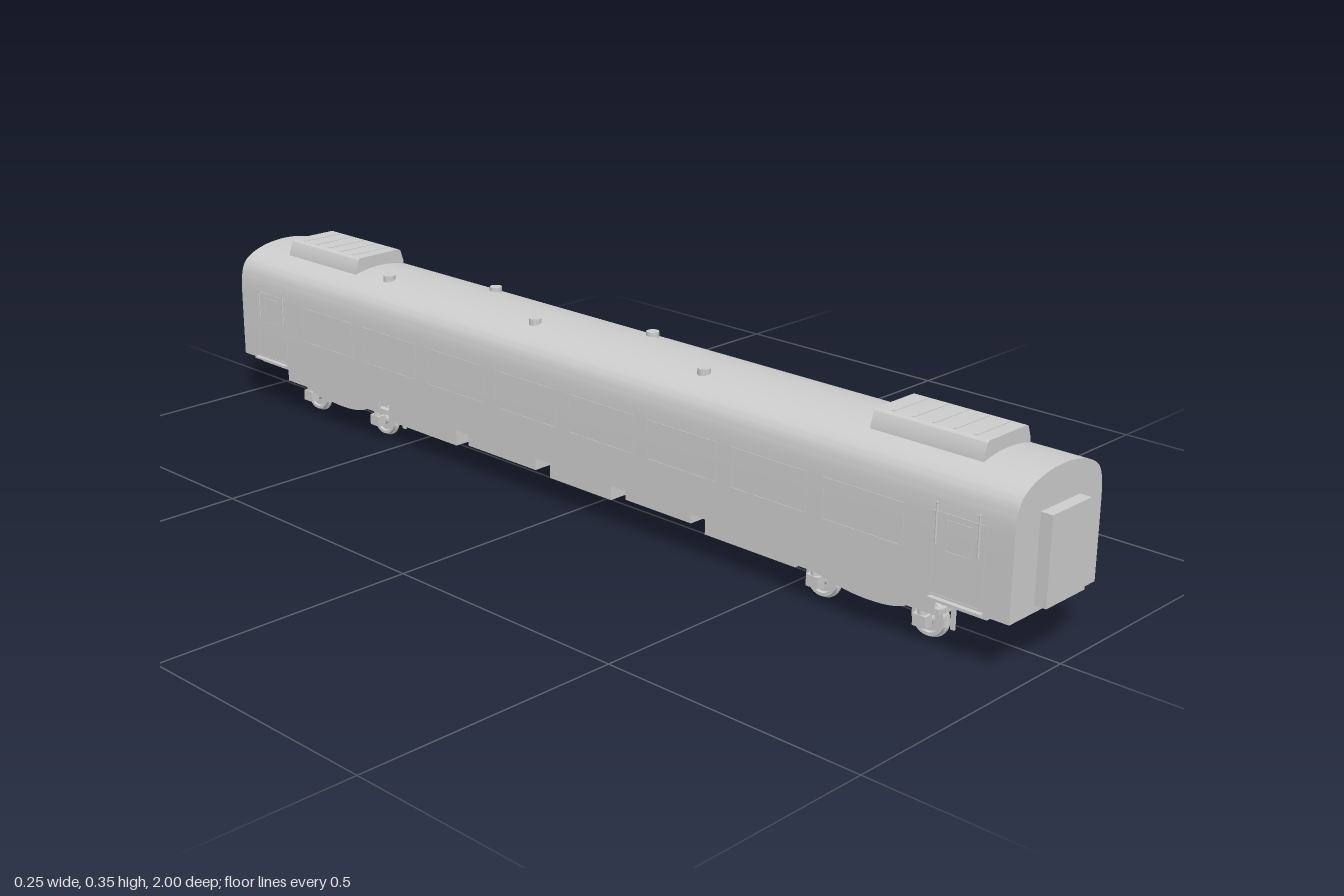
import * as THREE from 'three';
import { toCreasedNormals } from 'three/addons/utils/BufferGeometryUtils.js';

export function createModel() {
  const grey = new THREE.MeshStandardMaterial({ color: 0xcccccc });
  grey.name = 'light grey';
  const model = new THREE.Group();
  model.name = 'railCarriage';

  const add = (name, geo, x = 0, y = 0, z = 0, parent = model) => {
    const m = new THREE.Mesh(geo, grey);
    m.name = name;
    m.position.set(x, y, z);
    parent.add(m);
    return m;
  };
  // Box given by its limits on each axis
  const box = (name, x0, x1, y0, y1, z0, z1, parent = model) =>
    add(name, new THREE.BoxGeometry(x1 - x0, y1 - y0, z1 - z0),
      (x0 + x1) / 2, (y0 + y1) / 2, (z0 + z1) / 2, parent);
  // Extrusion of an x-y shape, centred along z
  const prism = (shape, depth) => {
    const g = new THREE.ExtrudeGeometry(shape, { depth, bevelEnabled: false, curveSegments: 14 });
    g.translate(0, 0, -depth / 2);
    return toCreasedNormals(g, 0.5);
  };
  // Same, but with the shape lying in the z-y plane
  const sidePlate = (shape, thickness) => prism(shape, thickness).rotateY(-Math.PI / 2);

  // Body shell with rounded roof
  const body = new THREE.Shape();
  body.moveTo(-0.118, 0.097);
  body.lineTo(0.118, 0.097);
  body.lineTo(0.118, 0.235);
  body.bezierCurveTo(0.117, 0.29, 0.108, 0.3, 0.085, 0.312);
  body.bezierCurveTo(0.06, 0.324, 0.03, 0.329, 0, 0.329);
  body.bezierCurveTo(-0.03, 0.329, -0.06, 0.324, -0.085, 0.312);
  body.bezierCurveTo(-0.108, 0.3, -0.117, 0.29, -0.118, 0.235);
  add('body', prism(body, 1.956));
  box('underframe', -0.107, 0.107, 0.086, 0.098, -0.93, 0.93);

  // Gangway connections
  for (const s of [-1, 1]) {
    const g = new THREE.BoxGeometry(0.106, 0.155, 0.03);
    add('gangway', g, 0, 0.1875, s * 0.985);
  }

  // Roof units with ribbed tops
  const unit = new THREE.Shape();
  unit.moveTo(-0.063, 0.318);
  unit.lineTo(0.063, 0.318);
  unit.lineTo(0.062, 0.328);
  unit.lineTo(0.055, 0.349);
  unit.quadraticCurveTo(0.053, 0.353, 0.048, 0.353);
  unit.lineTo(-0.048, 0.353);
  unit.quadraticCurveTo(-0.053, 0.353, -0.055, 0.349);
  unit.lineTo(-0.062, 0.328);
  for (const s of [-1, 1]) {
    add('roofUnit', prism(unit, 0.22), 0, 0, s * 0.767);
    for (let i = 0; i < 5; i++) {
      const z = s * 0.767 + (i - 2) * 0.04;
      box('roofUnitRib', -0.045, 0.045, 0.352, 0.354, z - 0.003, z + 0.003);
    }
  }

  // Staggered roof ventilators
  for (let i = 0; i < 5; i++) {
    add('roofVent', new THREE.CylinderGeometry(0.012, 0.012, 0.014, 16),
      i % 2 ? 0.047 : -0.047, 0.327, 0.282 - i * 0.213);
  }

  // Thin rectangular frame on a body side
  const frame = (name, s, z, w, y0, y1) => {
    const t = 0.003, x0 = s > 0 ? 0.1175 : -0.119, x1 = x0 + 0.0015;
    const a = z - w / 2, b = z + w / 2;
    box(name, x0, x1, y0, y0 + t, a, b);
    box(name, x0, x1, y1 - t, y1, a, b);
    box(name, x0, x1, y0 + t, y1 - t, a, a + t);
    box(name, x0, x1, y0 + t, y1 - t, b - t, b);
  };
  for (const s of [-1, 1]) {
    for (let i = 0; i < 8; i++) frame('windowFrame', s, (i - 3.5) * 0.197, 0.165, 0.165, 0.24);
    for (const e of [-1, 1]) {
      // Doors, handrails and footsteps
      frame('doorFrame', s, e * 0.877, 0.1, 0.103, 0.245);
      frame('doorWindowFrame', s, e * 0.877, 0.05, 0.18, 0.235);
      for (const z of [0.835, 0.915]) {
        const r = new THREE.CylinderGeometry(0.002, 0.002, 0.07, 8);
        add('handrail', r, s * 0.119, 0.225, e * z);
      }
      add('footstep', new THREE.BoxGeometry(0.03, 0.004, 0.1), s * 0.112, 0.1, e * 0.88);

      // Skirt with a lower centre over each bogie
      const skirt = new THREE.Shape();
      skirt.moveTo(-0.15, 0.098);
      skirt.lineTo(-0.15, 0.066);
      skirt.lineTo(-0.09, 0.066);
      skirt.quadraticCurveTo(0, 0.042, 0.09, 0.066);
      skirt.lineTo(0.15, 0.066);
      skirt.lineTo(0.15, 0.098);
      add('bogieSkirt', sidePlate(skirt, 0.003), s * 0.111, 0, e * 0.685);
    }
  }

  // Equipment boxes under the floor: z limits and bottom height
  for (const [z0, z1, y] of [
    [0.33, 0.535, 0.05], [0.137, 0.297, 0.061], [-0.06, 0.1, 0.05],
    [-0.29, -0.1, 0.055], [-0.53, -0.325, 0.046],
  ]) box('underfloorBox', -0.092, 0.092, y, 0.09, z0, z1);

  // Bogies
  const wheelProfile = [[0.008, -0.007], [0.028, -0.007], [0.029, -0.005], [0.036, -0.005],
    [0.036, -0.001], [0.033, 0.001], [0.032, 0.007], [0.026, 0.007], [0.024, 0.003],
    [0.012, 0.003], [0.01, 0.008], [0, 0.008]].map(p => new THREE.Vector2(...p));
  const wheelGeo = toCreasedNormals(new THREE.LatheGeometry(wheelProfile, 28), 0.5);
  const frameShape = new THREE.Shape();
  frameShape.moveTo(-0.145, 0.056);
  frameShape.lineTo(-0.085, 0.056);
  frameShape.quadraticCurveTo(-0.06, 0.04, 0, 0.04);
  frameShape.quadraticCurveTo(0.06, 0.04, 0.085, 0.056);
  frameShape.lineTo(0.145, 0.056);
  frameShape.lineTo(0.145, 0.066);
  frameShape.lineTo(0.08, 0.066);
  frameShape.quadraticCurveTo(0, 0.05, -0.08, 0.066);
  frameShape.lineTo(-0.145, 0.066);

  for (const e of [-1, 1]) {
    const bogie = new THREE.Group();
    bogie.name = 'bogie';
    bogie.position.z = e * 0.684;
    model.add(bogie);
    box('bolster', -0.09, 0.09, 0.05, 0.088, -0.03, 0.03, bogie);
    for (const s of [-1, 1]) {
      add('sideFrame', sidePlate(frameShape, 0.012), s * 0.085, 0, 0, bogie);
      add('endBeam', new THREE.BoxGeometry(0.17, 0.01, 0.008), 0, 0.06, s * 0.142, bogie);
      add('damper', new THREE.CylinderGeometry(0.005, 0.005, 0.03, 10), s * 0.097, 0.072, 0.05, bogie);
      add('damper', new THREE.CylinderGeometry(0.005, 0.005, 0.03, 10), s * 0.097, 0.072, -0.05, bogie);

      // One wheelset at each end of the bogie
      const z = s * 0.11;
      const axle = add('axle', new THREE.CylinderGeometry(0.008, 0.008, 0.17, 14), 0, 0.036, z, bogie);
      axle.rotation.z = Math.PI / 2;
      for (const x of [-1, 1]) {
        add('wheel', wheelGeo, x * 0.064, 0.036, z, bogie).rotation.z = -x * Math.PI / 2;
        add('axleBox', new THREE.BoxGeometry(0.018, 0.021, 0.026), x * 0.086, 0.037, z, bogie);
        add('suspensionSpring', new THREE.CylinderGeometry(0.008, 0.008, 0.035, 12), x * 0.086, 0.065, z, bogie);
        add('guardIron', new THREE.BoxGeometry(0.004, 0.046, 0.008), x * 0.04, 0.036, s * 0.138, bogie);
      }
    }
  }
  return model;
}
